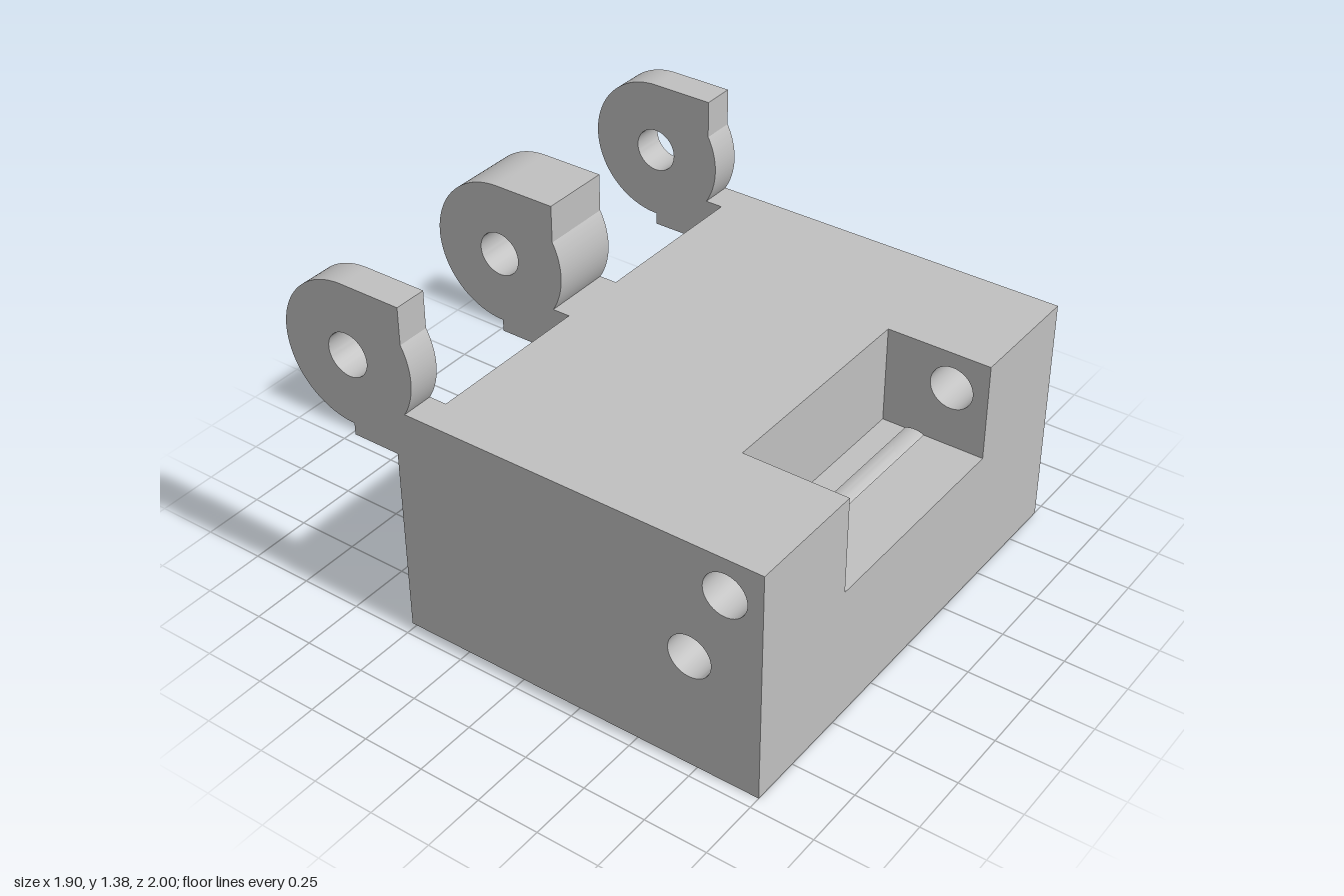
import * as THREE from 'three';
import { toCreasedNormals } from 'three/addons/utils/BufferGeometryUtils.js';

const W = 0.95;            // half width
const H = 0.95;            // body height
const SPLIT = 0.4;         // where the front section meets the core
const BACK = -0.52;
const STEP = 0.765;        // height of the rear ledge
const R = 0.087;           // bore radius
const UPPER = [0.852, 0.802], LOWER = [0.715, 0.477];

function polygon(points) {
  return new THREE.Shape(points.map(([a, b]) => new THREE.Vector2(a, b)));
}

function addHole(shape, [a, b]) {
  const hole = new THREE.Path();
  hole.absarc(a, b, R, 0, Math.PI * 2, true);
  shape.holes.push(hole);
}

function extrude(shape, depth) {
  return new THREE.ExtrudeGeometry(shape, { depth, bevelEnabled: false, curveSegments: 28 });
}

// Extrudes a (z, y) profile from x0 to x1
function acrossX(shape, x0, x1) {
  const g = extrude(shape, x1 - x0);
  g.rotateY(-Math.PI / 2);
  g.translate(x1, 0, 0);
  return toCreasedNormals(g, 0.45);
}

function hingeShape() {
  const cz = -0.715, cy = 1.098, r = 0.285, flatZ = -0.465;
  const s = new THREE.Shape();
  s.moveTo(-0.4, STEP);
  s.lineTo(-0.4, H);
  s.absarc(cz, cy, r, -Math.asin((cy - H) / r), Math.acos((flatZ - cz) / r), false);
  s.lineTo(flatZ, cy + r);
  s.absarc(cz, cy, r, Math.PI / 2, Math.PI * 1.5, false);
  s.lineTo(cz, STEP);
  s.closePath();
  addHole(s, [cz, cy]);
  return s;
}

export function createModel() {
  const model = new THREE.Group();
  const grey = new THREE.MeshStandardMaterial({ color: 0xc0c0c0 });
  grey.name = 'grey';

  const add = (name, geometry) => {
    const mesh = new THREE.Mesh(geometry, grey);
    mesh.name = name;
    model.add(mesh);
    return mesh;
  };
  const block = (name, y0, y1, z0, z1) =>
    add(name, new THREE.BoxGeometry(2 * W, y1 - y0, z1 - z0))
      .position.set(0, (y0 + y1) / 2, (z0 + z1) / 2);

  // Front cheeks with two cross bores each
  const cheek = polygon([[SPLIT, 0], [1, 0], [1, H], [SPLIT, H]]);
  addHole(cheek, UPPER);
  addHole(cheek, LOWER);
  add('rightCheek', acrossX(cheek, -W, -0.46));
  add('leftCheek', acrossX(cheek, 0.46, W));

  // Front pocket, its floor grooved by the lower bore
  const floorY = 0.555;
  const pocket = new THREE.Shape();
  const a = Math.asin((floorY - LOWER[1]) / R);
  pocket.moveTo(SPLIT, 0);
  pocket.lineTo(1, 0);
  pocket.lineTo(1, floorY);
  pocket.absarc(LOWER[0], LOWER[1], R, a, Math.PI - a, true);
  pocket.lineTo(0.58, floorY);
  pocket.lineTo(0.58, H);
  pocket.lineTo(SPLIT, H);
  pocket.closePath();
  add('pocket', acrossX(pocket, -0.46, 0.46));

  // Core, with a blind hole in the underside
  const holeDepth = 0.4;
  const base = polygon([[-W, -0.4], [W, -0.4], [W, SPLIT], [-W, SPLIT]]);
  addHole(base, [0, 0.24]);
  const baseGeometry = extrude(base, holeDepth);
  baseGeometry.rotateX(Math.PI / 2);
  baseGeometry.translate(0, holeDepth, 0);
  add('coreBase', toCreasedNormals(baseGeometry, 0.45));
  block('coreTop', holeDepth, H, -0.4, SPLIT);

  // Rear ledge between the hinge lugs
  block('rearLedge', 0, STEP, BACK, -0.4);

  // Hinge lugs
  const lug = hingeShape();
  add('rightHingeLug', acrossX(lug, -W, -0.82));
  add('centreHingeLug', acrossX(lug, -0.14, 0.14));
  add('leftHingeLug', acrossX(lug, 0.82, W));

  return model;
}
